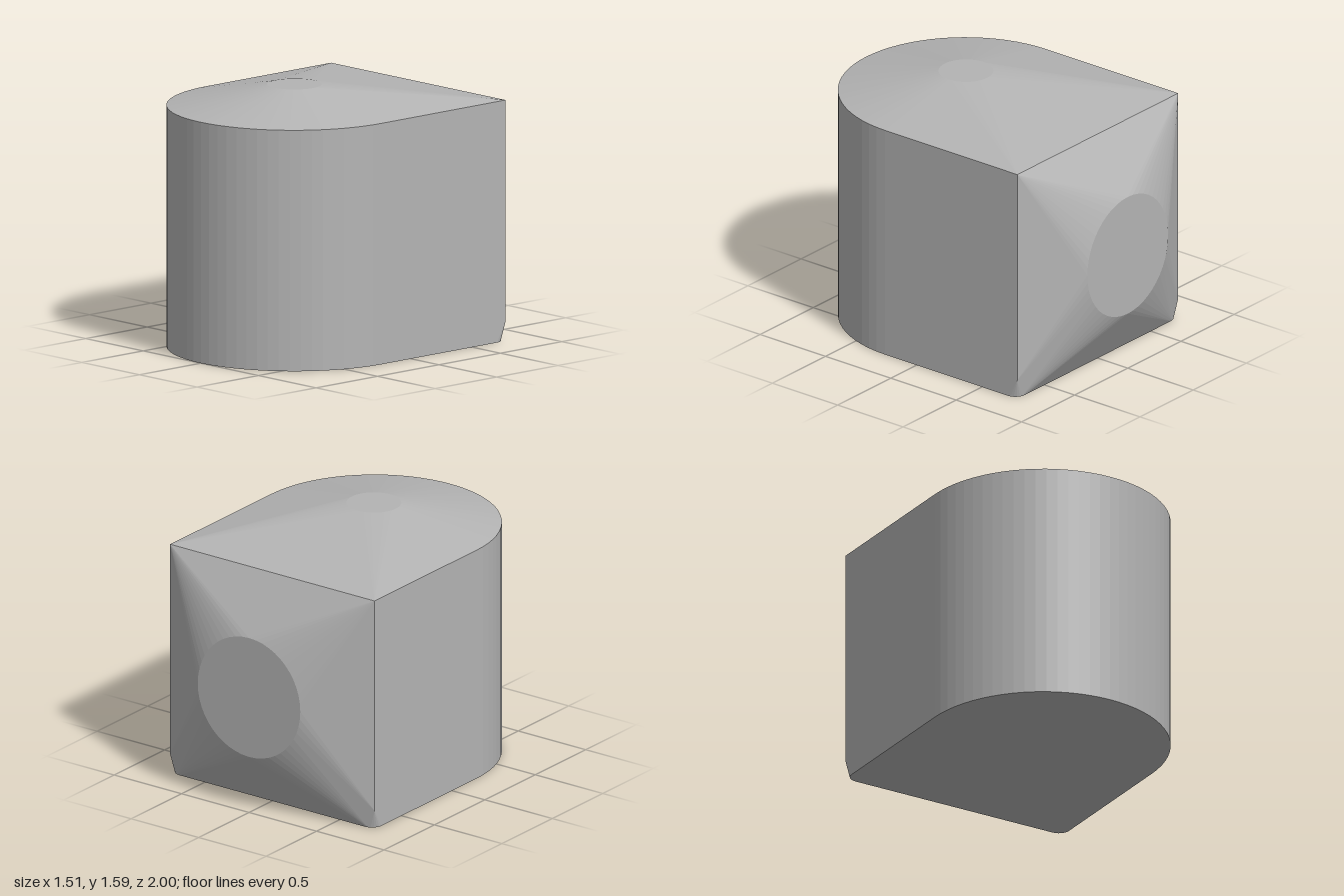
import * as THREE from 'three';
import { ConvexGeometry } from 'three/addons/geometries/ConvexGeometry.js';

const HALF = 0.757;   // half width, also the radius of the round front
const FRONT = 0.243;  // z centre of the round front and of the top cap
const BACK = -0.77;   // z of the back edge
const WALL = 1.46;    // wall height

// Points along an arc, each placed in space by the given function
function arc(radius, start, end, steps, place) {
  const points = [];
  for (let i = 0; i <= steps; i++) {
    const a = start + (end - start) * i / steps;
    points.push(place(radius * Math.cos(a), radius * Math.sin(a)));
  }
  return points;
}

export function createModel() {
  const group = new THREE.Group();
  const grey = new THREE.MeshStandardMaterial({ color: 0xb4b4b4 });
  grey.name = 'plain grey';

  const points = [];

  // Rounded front edge at the foot and at the top of the wall
  for (const y of [0, WALL]) {
    points.push(...arc(HALF, 0, Math.PI, 36, (u, v) => new THREE.Vector3(u, y, FRONT + v)));
  }

  // Sharp back corners above, small rounded corners on the floor
  const r = 0.07;
  for (const s of [-1, 1]) {
    points.push(new THREE.Vector3(s * HALF, WALL, BACK), new THREE.Vector3(s * HALF, 0.12, BACK));
    points.push(...arc(r, 0, Math.PI / 2, 6,
      (u, v) => new THREE.Vector3(s * (HALF - r + u), 0, BACK + r - v)));
  }

  // Small flat disc on top and larger flat disc at the back
  points.push(...arc(0.163, 0, Math.PI * 2 * 47 / 48, 47,
    (u, v) => new THREE.Vector3(u, 1.585, 0.238 + v)));
  points.push(...arc(0.38, 0, Math.PI * 2 * 47 / 48, 47,
    (u, v) => new THREE.Vector3(u, 0.735 + v, -1)));

  // One faceted skin stretched over all the outlines
  const body = new THREE.Mesh(new ConvexGeometry(points), grey);
  body.name = 'body';
  group.add(body);
  return group;
}
